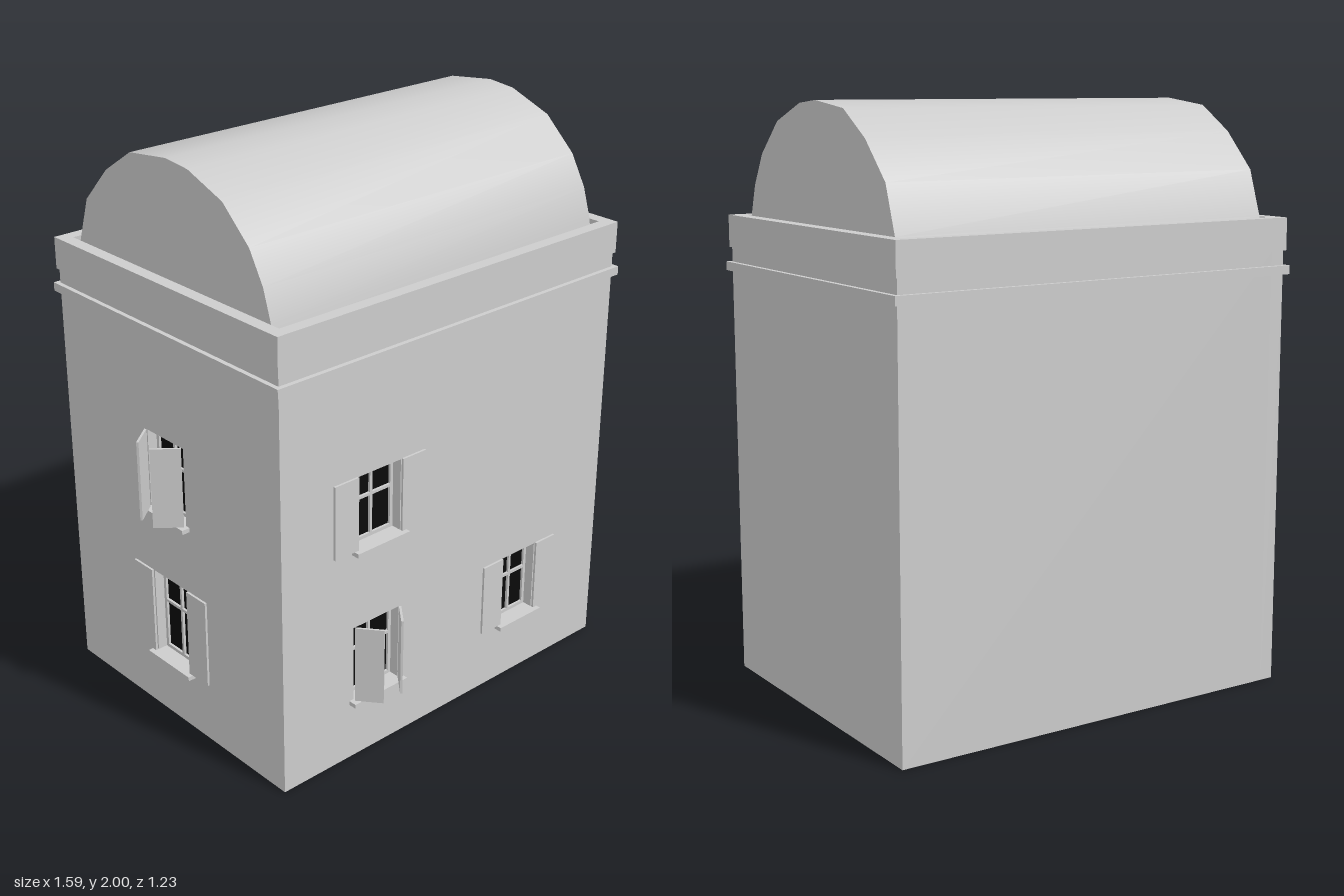
import * as THREE from 'three';
import { toCreasedNormals } from 'three/addons/utils/BufferGeometryUtils.js';

const plaster = new THREE.MeshStandardMaterial({ name: 'grey plaster', color: 0xcccccc });
const glass = new THREE.MeshStandardMaterial({ name: 'dark glass', color: 0x0a0a0a });

const X0 = -0.715, X1 = 0.775, Z0 = -0.6, Z1 = 0.53;
const REVEAL = 0.05;

// Axis-aligned box given by its limits
function block(name, x0, x1, y0, y1, z0, z1, material = plaster) {
  const mesh = new THREE.Mesh(new THREE.BoxGeometry(x1 - x0, y1 - y0, z1 - z0), material);
  mesh.position.set((x0 + x1) / 2, (y0 + y1) / 2, (z0 + z1) / 2);
  mesh.name = name;
  return mesh;
}

function rect(Type, x0, x1, y0, y1) {
  const p = new Type();
  p.moveTo(x0, y0);
  p.lineTo(x1, y0);
  p.lineTo(x1, y1);
  p.lineTo(x0, y1);
  p.closePath();
  return p;
}

// Wall slab with window openings; its outer face lies at local z = 0
function wall(name, x0, x1, height, windows) {
  const shape = rect(THREE.Shape, x0, x1, 0, height);
  for (const w of windows) {
    shape.holes.push(rect(THREE.Path, w.x - w.w / 2, w.x + w.w / 2, w.y0, w.y1));
  }
  const geo = new THREE.ExtrudeGeometry(shape, { depth: REVEAL, bevelEnabled: false });
  geo.translate(0, 0, -REVEAL);
  const mesh = new THREE.Mesh(geo, plaster);
  mesh.name = name;
  return mesh;
}

// Recessed pane, frame with crossing bars, sill and two hinged shutters
function makeWindow({ x, w, y0, y1, angle, leaf }) {
  const g = new THREE.Group();
  g.name = 'window';
  g.position.x = x;
  const h = w / 2, f = 0.012, back = -REVEAL, front = -0.035;
  const bar = y0 + (y1 - y0) * 0.6;
  g.add(
    block('pane', -h, h, y0, y1, back, back + 0.006, glass),
    block('frameBottom', -h, h, y0, y0 + f, back, front),
    block('frameTop', -h, h, y1 - f, y1, back, front),
    block('frameLeft', -h, -h + f, y0, y1, back, front),
    block('frameRight', h - f, h, y0, y1, back, front),
    block('mullion', -0.005, 0.005, y0, y1, back, front),
    block('transom', -h, h, bar - 0.005, bar + 0.005, back, front),
    block('sill', -h - 0.018, h + 0.018, y0 - 0.015, y0, -0.04, 0.03)
  );
  for (const s of [-1, 1]) {
    const hinge = new THREE.Group();
    hinge.name = 'shutter';
    hinge.position.set(s * h, 0, 0.008);
    hinge.rotation.y = -s * angle;
    hinge.add(block('shutterLeaf', s > 0 ? 0 : -leaf, s > 0 ? leaf : 0, y0, y1 + 0.005, -0.004, 0.004));
    g.add(hinge);
  }
  return g;
}

// Upright extrusion of a plan rectangle, optionally hollow
function ring(name, out, y0, y1, inner) {
  const shape = rect(THREE.Shape, X0 - out, X1 + out, -Z1 - out, -Z0 + out);
  if (inner) shape.holes.push(rect(THREE.Path, X0 + inner, X1 - inner, -Z1 + inner, -Z0 - inner));
  const geo = new THREE.ExtrudeGeometry(shape, { depth: y1 - y0, bevelEnabled: false });
  geo.rotateX(-Math.PI / 2);
  geo.translate(0, y0, 0);
  const mesh = new THREE.Mesh(geo, plaster);
  mesh.name = name;
  return mesh;
}

export function createModel() {
  const model = new THREE.Group();
  model.name = 'house';
  const ajar = THREE.MathUtils.degToRad(129);

  // Windows in wall coordinates: centre, width, bottom, top, shutter swing and size
  const frontWindows = [
    { x: -0.31, w: 0.19, y0: 0.79, y1: 1.045, angle: 0, leaf: 0.1 },
    { x: -0.315, w: 0.2, y0: 0.225, y1: 0.5, angle: ajar, leaf: 0.096 },
    { x: 0.365, w: 0.17, y0: 0.225, y1: 0.485, angle: 0, leaf: 0.095 },
  ];
  const sideWindows = [
    { x: -0.045, w: 0.19, y0: 0.79, y1: 1.07, angle: ajar, leaf: 0.1 },
    { x: -0.045, w: 0.19, y0: 0.225, y1: 0.54, angle: 0, leaf: 0.1 },
  ];

  // Body with pierced front and side walls
  model.add(block('body', X0 + REVEAL, X1, 0, 1.5, Z0, Z1 - REVEAL));
  const frontWall = new THREE.Group();
  frontWall.name = 'frontWall';
  frontWall.position.z = Z1;
  frontWall.add(wall('frontFacade', X0, X1, 1.5, frontWindows), ...frontWindows.map(makeWindow));
  const sideWall = new THREE.Group();
  sideWall.name = 'sideWall';
  sideWall.position.x = X0;
  sideWall.rotation.y = -Math.PI / 2;
  sideWall.add(wall('sideFacade', Z0, Z1 - REVEAL, 1.5, sideWindows), ...sideWindows.map(makeWindow));
  model.add(frontWall, sideWall);

  // Cornice, parapet and roof deck
  model.add(ring('cornice', 0.016, 1.42, 1.45));
  model.add(ring('parapet', 0.007, 1.5, 1.61, 0.038));
  model.add(block('roofDeck', X0 + 0.03, X1 - 0.03, 1.49, 1.55, Z0 + 0.02, Z1 - 0.03));

  // Barrel vault: z, y outline swept along x
  const arch = [
    [0.465, 1.52], [0.453, 1.61], [0.42, 1.715], [0.36, 1.82], [0.24, 1.93], [0.077, 1.99],
    [-0.03, 2], [-0.215, 1.977], [-0.35, 1.89], [-0.47, 1.765], [-0.522, 1.61], [-0.545, 1.52],
  ].map(([z, y]) => new THREE.Vector2(-z, y));
  let vault = new THREE.ExtrudeGeometry(new THREE.Shape(arch), { depth: 1.41, bevelEnabled: false });
  vault.rotateY(Math.PI / 2);
  vault.translate(-0.675, 0, 0);
  vault = toCreasedNormals(vault, 0.8);
  const roof = new THREE.Mesh(vault, plaster);
  roof.name = 'barrelRoof';
  model.add(roof);

  return model;
}
